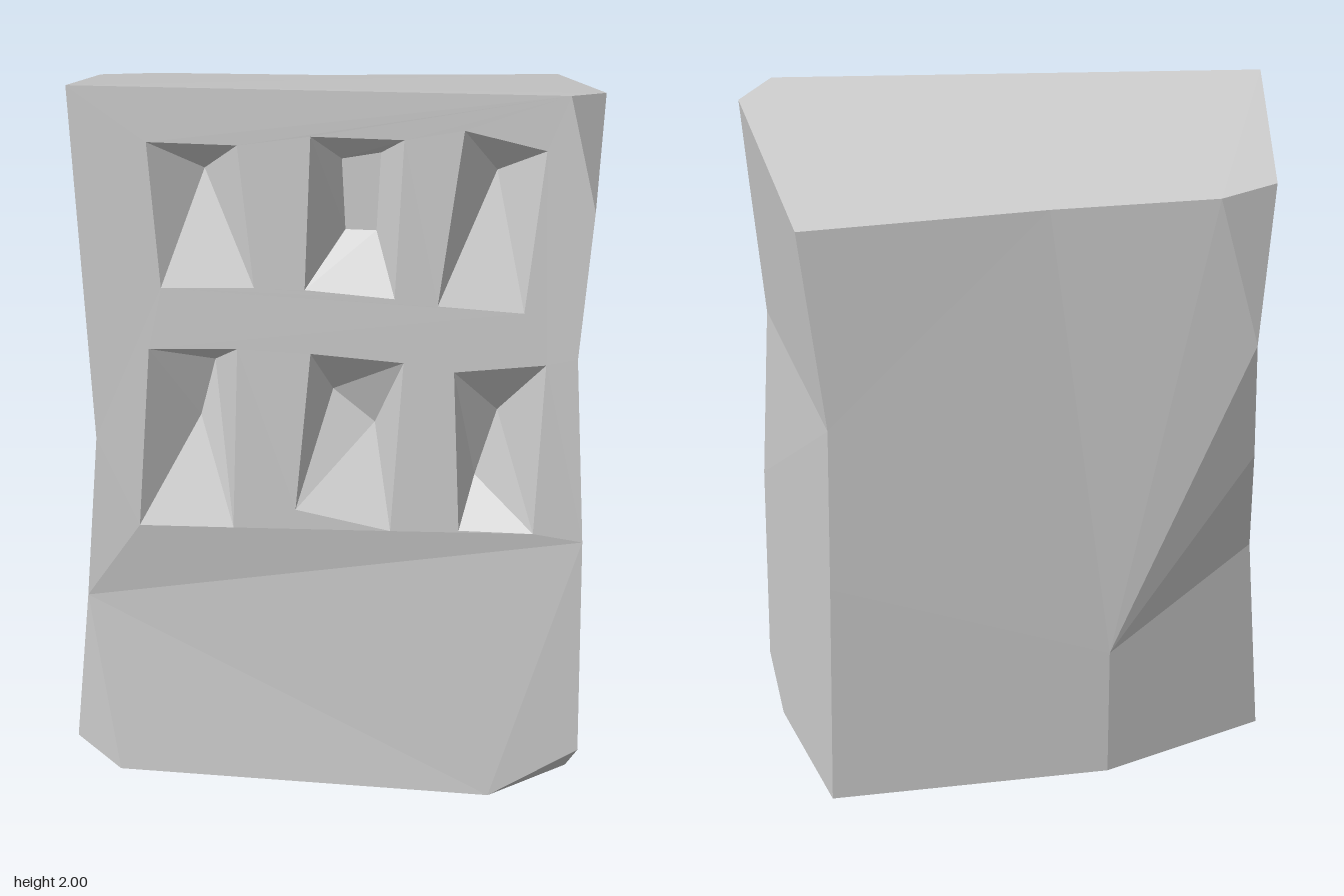
import * as THREE from 'three';

const stone = new THREE.MeshStandardMaterial({ color: 0xcccccc, flatShading: true });

// Front rim, counter-clockwise from the lower left
const F = [[-.57, .03, .28], [.44, 0, .33], [.68, .15, .325], [.67, .78, .305], [.64, 1.3, .285],
  [.67, 1.7, .27], [.6, 2, .25], [-.66, 1.98, .165], [-.61, 1.02, .22], [-.65, .54, .21]];
// Outer points of the chipped corners: lower left, lower right, upper right
const C = [[-.7, .06, .16], [.655, .02, .2], [.69, 1.98, .17]];
// Back rim, counter-clockwise from its lower +x corner; the last point is a bump inside the face
const B = [[.556, .11, -.33], [.54, .8, -.33], [.53, 1.28, -.325], [.59, 1.85, -.325], [-.04, 1.85, -.295],
  [-.47, 1.85, -.295], [-.62, 1.86, -.25], [-.58, 1.42, -.29], [-.6, 1.05, -.23], [-.62, .71, -.14],
  [-.67, .08, -.11], [-.21, .1, -.3], [-.21, .5, -.3]];

// Leaning front surface
const frontZ = (x, y) => THREE.MathUtils.lerp(.31 + .05 * x, .21 + .066 * x, y / 2);

// Fan-triangulates polygons, skipping collapsed triangles
function polygonMesh(name, polygons) {
  const positions = [];
  for (const p of polygons.map((poly) => poly.map((v) => new THREE.Vector3(...v)))) {
    for (let i = 1; i < p.length - 1; i++) {
      const t = new THREE.Triangle(p[0], p[i], p[i + 1]);
      if (t.getArea() > 1e-6) for (const v of [t.a, t.b, t.c]) positions.push(v.x, v.y, v.z);
    }
  }
  const geometry = new THREE.BufferGeometry();
  geometry.setAttribute('position', new THREE.Float32BufferAttribute(positions, 3));
  geometry.computeVertexNormals();
  const mesh = new THREE.Mesh(geometry, stone);
  mesh.name = name;
  return mesh;
}

// Pockets: rim corners and floor points, both as lower left, lower right, upper right, upper left
const same = (p) => [p, p, p, p];
const upright = (low, high) => [low, low, high, high];
const level = (left, right) => [left, right, right, left];
const pockets = [
  { rim: [[-.43, 1.45], [-.19, 1.46], [-.23, 1.84], [-.46, 1.84]], floor: same([-.32, 1.74]), depth: .1 },
  { rim: [[-.06, 1.46], [.17, 1.445], [.19, 1.87], [-.045, 1.87]],
    floor: [[.04, 1.58], [.12, 1.58], [.13, 1.79], [.03, 1.77]], depth: .12 },
  { rim: [[.28, 1.43], [.5, 1.42], [.545, 1.855], [.34, 1.9]], floor: same([.425, 1.76]), depth: .11 },
  { rim: [[-.5, .775], [-.25, .78], [-.235, 1.29], [-.465, 1.28]],
    floor: upright([-.34, 1.05], [-.3, 1.21]), depth: .11 },
  { rim: [[-.085, .84], [.165, .79], [.195, 1.27], [-.045, 1.285]],
    floor: level([.01, 1.14], [.12, 1.05]), depth: .11 },
  { rim: [[.345, .8], [.54, .8], [.56, 1.28], [.325, 1.25]],
    floor: upright([.385, .91], [.44, 1.1]), depth: .11 },
];

function pocketMesh({ rim, floor, depth }) {
  const top = rim.map(([x, y]) => [x, y, frontZ(x, y)]);
  const low = floor.map(([x, y]) => [x, y, frontZ(x, y) - depth]);
  const walls = top.map((p, i) => [p, top[(i + 1) % 4], low[(i + 1) % 4], low[i]]);
  return polygonMesh('windowPocket', [...walls, low]);
}

// Front sheet with a hole for every pocket
function frontMesh() {
  const toPoints = (list) => list.map(([x, y]) => new THREE.Vector2(x, y));
  const shape = new THREE.Shape(toPoints(F));
  for (const { rim } of pockets) shape.holes.push(new THREE.Path(toPoints(rim)));
  const indexed = new THREE.ShapeGeometry(shape);
  const pos = indexed.attributes.position;
  for (let i = 0; i < pos.count; i++) {
    const x = pos.getX(i), y = pos.getY(i);
    const corner = F.find((f) => Math.hypot(f[0] - x, f[1] - y) < 1e-4);
    pos.setZ(i, corner ? corner[2] : frontZ(x, y));
  }
  const geometry = indexed.toNonIndexed();
  geometry.computeVertexNormals();
  const mesh = new THREE.Mesh(geometry, stone);
  mesh.name = 'frontFace';
  return mesh;
}

export function createModel() {
  const group = new THREE.Group();
  group.name = 'carvedStoneSlab';
  group.add(
    frontMesh(),
    polygonMesh('topFace', [[F[7], F[6], C[2], B[3], B[4], B[5], B[6]]]),
    polygonMesh('bottomFace', [[F[0], C[0], B[10], B[11], B[0], C[1], F[1]]]),
    polygonMesh('leftSide', [[C[1], B[0], B[1], F[3], F[2]], [F[3], B[1], B[2], F[4]],
      [F[4], B[2], B[3], C[2], F[5]]]),
    polygonMesh('rightSide', [[B[10], C[0], F[9], B[9]], [B[9], F[9], F[8], B[8]],
      [B[8], F[8], B[7]], [B[7], F[8], F[7], B[6]]]),
    polygonMesh('chippedCorners', [[F[1], C[1], F[2]], [F[5], C[2], F[6]], [F[0], F[9], C[0]]]),
    polygonMesh('backFace', [[B[0], B[11], B[12], B[1]], [B[1], B[12], B[2]], [B[2], B[12], B[4], B[3]],
      [B[12], B[7], B[5], B[4]], [B[7], B[6], B[5]], [B[11], B[10], B[12]],
      ...[10, 9, 8].map((i) => [B[i], B[i - 1], B[12]])]),
  );
  for (const pocket of pockets) group.add(pocketMesh(pocket));
  return group;
}
